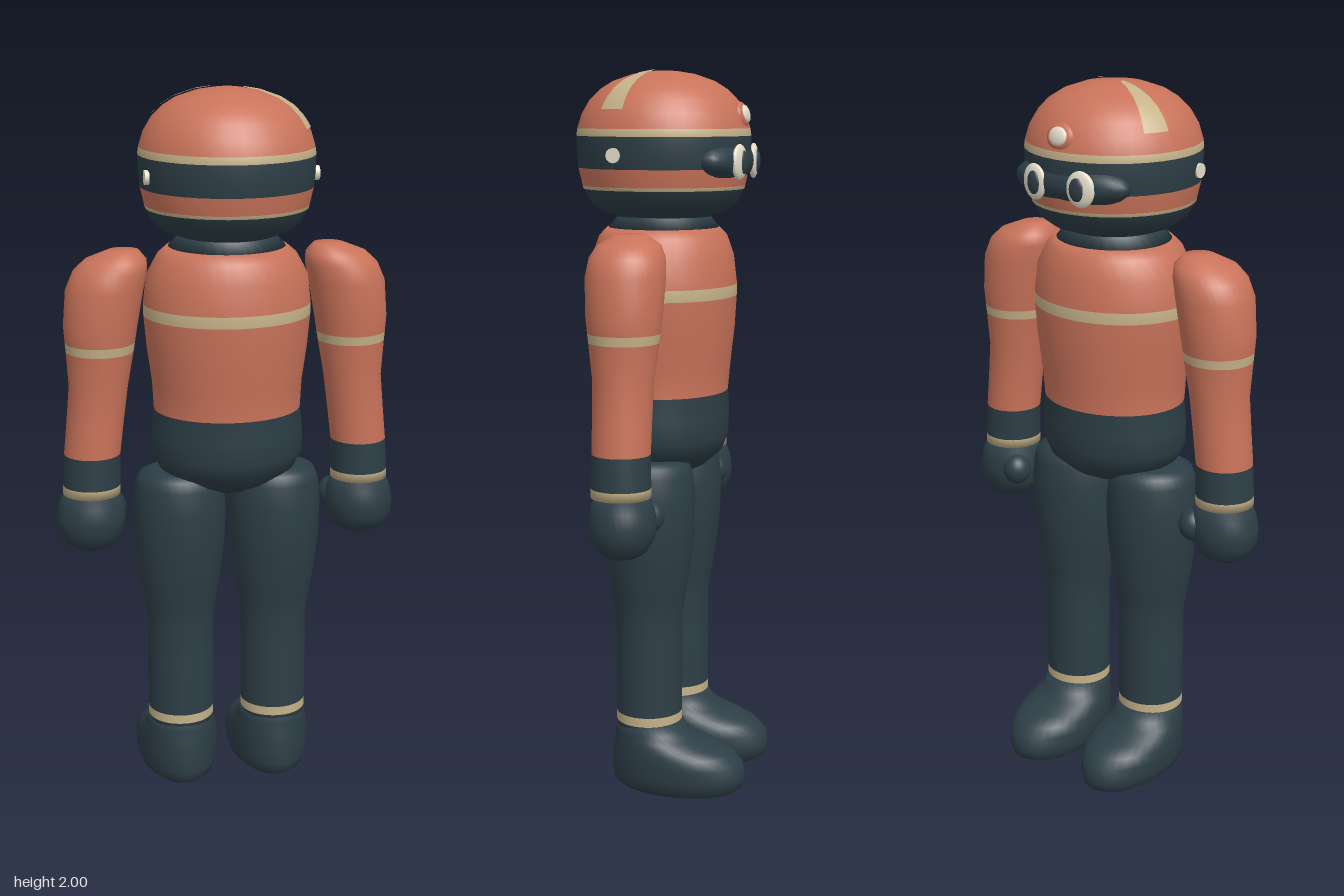
import * as THREE from 'three';

const SEG = 36;
const CZ = 0.022; // depth of the body axis

const make = (name, color) => {
  const m = new THREE.MeshStandardMaterial({ color });
  m.name = name;
  return m;
};

export function createModel() {
  const orange = make('orange', 0xc9735a);
  const dark = make('darkSlate', 0x2d3e46);
  const tan = make('tan', 0xc6b289);
  const white = make('offWhite', 0xe6decb);
  const palette = [orange, dark, tan];
  const O = 0, D = 1, T = 2;

  const model = new THREE.Group();
  const add = (name, geo, mat, parent = model) => {
    const mesh = new THREE.Mesh(geo, mat);
    mesh.name = name;
    parent.add(mesh);
    return mesh;
  };

  // Smooth body from elliptical rings, top to bottom: [y, cx, cz, rx, rz, colour of the band below]
  function loft(name, rings, parent) {
    const pos = [], idx = [], geo = new THREE.BufferGeometry();
    for (const [y, cx, cz, rx, rz] of rings) {
      for (let k = 0; k < SEG; k++) {
        const t = (k / SEG) * Math.PI * 2;
        pos.push(cx + rx * Math.cos(t), y, cz + rz * Math.sin(t));
      }
    }
    const n = rings.length, top = n * SEG, last = (n - 1) * SEG;
    pos.push(rings[0][1], rings[0][0], rings[0][2]);
    pos.push(rings[n - 1][1], rings[n - 1][0], rings[n - 1][2]);
    for (let i = -1; i < n; i++) {
      const start = idx.length;
      for (let k = 0; k < SEG; k++) {
        const k1 = (k + 1) % SEG;
        const a = i * SEG + k, b = i * SEG + k1;
        if (i < 0) idx.push(top, k1, k);
        else if (i === n - 1) idx.push(top + 1, last + k, last + k1);
        else idx.push(a, b, a + SEG, b, b + SEG, a + SEG);
      }
      geo.addGroup(start, idx.length - start, rings[Math.max(i, 0)][5]);
    }
    geo.setAttribute('position', new THREE.Float32BufferAttribute(pos, 3));
    geo.setIndex(idx);
    geo.computeVertexNormals();
    return add(name, geo, palette, parent);
  }

  function ellipsoid(name, mat, p, r, parent) {
    const mesh = add(name, new THREE.SphereGeometry(1, 28, 18), mat, parent);
    mesh.position.set(...p);
    mesh.scale.set(...r);
    return mesh;
  }

  // Helmet: [radius, y, colour]
  const helmet = [
    [0.035, 1.999, O], [0.085, 1.991, O], [0.14, 1.972, O], [0.175, 1.95, O], [0.203, 1.922, O],
    [0.225, 1.885, O], [0.237, 1.846, T], [0.24, 1.826, D], [0.239, 1.785, D], [0.235, 1.74, O],
    [0.224, 1.692, T], [0.222, 1.683, D], [0.201, 1.645, D], [0.17, 1.622, D], [0.125, 1.606, D],
  ];
  const head = new THREE.Group();
  head.name = 'head';
  model.add(head);
  loft('helmet', helmet.map(([r, y, c]) => [y, 0, 0.02, r, r, c]), head);

  // Tapered stripes lying on the helmet crown
  const crownY = (r) => {
    let i = 1;
    while (i < helmet.length - 1 && helmet[i][0] < r) i++;
    const [r0, y0] = helmet[i - 1], [r1, y1] = helmet[i];
    return y0 + ((r - r0) / (r1 - r0)) * (y1 - y0);
  };
  for (const s of [-1, 1]) {
    const rows = 16, cols = 6, aim = THREE.MathUtils.degToRad(22);
    const geo = new THREE.PlaneGeometry(1, 1, cols, rows);
    const p = geo.attributes.position;
    for (let i = 0; i < p.count; i++) {
      const v = 0.5 - p.getY(i);
      const r = 0.04 + v * 0.18;
      const a = aim + (p.getX(i) * 2 * (0.006 + v * 0.03)) / r;
      const rr = r + 0.003;
      p.setXYZ(i, s * rr * Math.cos(a), crownY(r) + 0.004, 0.02 + s * rr * Math.sin(a));
    }
    geo.computeVertexNormals();
    // Faces must point up
    if (geo.attributes.normal.getY(0) < 0) {
      const ix = geo.index;
      for (let i = 0; i < ix.count; i += 3) {
        const b = ix.getX(i + 1);
        ix.setX(i + 1, ix.getX(i + 2));
        ix.setX(i + 2, b);
      }
      geo.computeVertexNormals();
    }
    add('crownStripe', geo, tan, head);

    // Side stud
    const stud = add('sideStud', new THREE.CylinderGeometry(0.02, 0.02, 0.012, 12), white, head);
    stud.rotation.z = Math.PI / 2;
    stud.position.set(s * 0.23, 1.777, 0.09);
  }

  // Face mask, eyes and lamp, on the -z side
  ellipsoid('faceMask', dark, [0, 1.76, -0.153], [0.185, 0.062, 0.073], head);
  for (const s of [-1, 1]) {
    const eye = new THREE.Group();
    eye.name = 'eye';
    eye.position.set(s * 0.077, 1.758, -0.214);
    eye.rotation.y = -s * 0.15;
    head.add(eye);
    ellipsoid('eyeWhite', white, [0, 0, 0], [0.042, 0.048, 0.014], eye);
    ellipsoid('pupil', dark, [-s * 0.006, 0, -0.01], [0.022, 0.031, 0.01], eye);
  }
  const lamp = new THREE.Group();
  lamp.name = 'headLamp';
  lamp.position.set(0, 1.882, -0.2);
  lamp.rotation.x = 0.25;
  head.add(lamp);
  ellipsoid('lampRim', orange, [0, 0, 0], [0.043, 0.036, 0.016], lamp);
  ellipsoid('lampLens', white, [0, 0, -0.01], [0.03, 0.025, 0.011], lamp);

  // Collar
  loft('collar', [[1.625, 0, 0.02, 0.12, 0.115, D], [1.605, 0, 0.02, 0.135, 0.13, D], [1.57, 0, 0.02, 0.168, 0.158, D]]);

  // Torso: [y, half width, half depth, colour]
  loft('torso', [
    [1.578, 0.165, 0.155, O], [1.555, 0.192, 0.176, O], [1.5, 0.222, 0.194, O], [1.422, 0.231, 0.203, T],
    [1.39, 0.231, 0.203, O], [1.3, 0.223, 0.198, O], [1.2, 0.209, 0.187, O], [1.125, 0.205, 0.18, D],
    [1.06, 0.212, 0.183, D], [1.0, 0.213, 0.181, D], [0.955, 0.19, 0.165, D], [0.915, 0.135, 0.12, D],
    [0.886, 0.065, 0.06, D],
  ].map(([y, rx, rz, c]) => [y, 0, CZ, rx, rz, c]));

  for (const s of [-1, 1]) {
    const side = s > 0 ? 'left' : 'right';

    // Arm, cuff and hand: [y, centre x, radius, colour]
    const arm = new THREE.Group();
    arm.name = side + 'Arm';
    model.add(arm);
    loft('sleeve', [
      [1.575, 0.285, 0.042, O], [1.55, 0.306, 0.084, O], [1.52, 0.322, 0.1, O], [1.47, 0.338, 0.106, O],
      [1.37, 0.351, 0.101, O], [1.325, 0.353, 0.096, T], [1.3, 0.354, 0.093, O], [1.2, 0.36, 0.081, O],
      [1.1, 0.371, 0.079, O], [1.01, 0.381, 0.078, D], [0.92, 0.384, 0.08, T], [0.895, 0.385, 0.08, D],
    ].map(([y, x, r, c]) => [y, s * x, CZ, r, r, c]), arm);
    loft('hand', [
      [0.9, 0.385, 0.076, D], [0.865, 0.386, 0.091, D], [0.825, 0.388, 0.097, D], [0.785, 0.389, 0.092, D],
      [0.75, 0.389, 0.07, D], [0.735, 0.389, 0.045, D],
    ].map(([y, x, r, c]) => [y, s * x, 0.018, r, r * 0.94, c]), arm);
    ellipsoid('thumb', dark, [s * 0.322, 0.832, -0.035], [0.04, 0.045, 0.042], arm);

    // Leg: [y, radius, colour]
    const leg = new THREE.Group();
    leg.name = side + 'Leg';
    model.add(leg);
    loft('trouser', [
      [0.95, 0.085, D], [0.938, 0.112, D], [0.91, 0.124, D], [0.84, 0.131, D], [0.74, 0.128, D],
      [0.64, 0.117, D], [0.56, 0.103, D], [0.5, 0.094, D], [0.4, 0.095, D], [0.3, 0.094, D],
      [0.228, 0.094, T], [0.202, 0.094, D], [0.18, 0.094, D],
    ].map(([y, r, c]) => [y, s * 0.137, CZ, r, r * 0.98, c]), leg);

    // Boot: [y, half width, heel z, toe z]
    loft('boot', [
      [0.205, 0.093, 0.113, -0.069], [0.175, 0.098, 0.116, -0.088], [0.155, 0.104, 0.119, -0.12],
      [0.137, 0.111, 0.122, -0.175], [0.117, 0.116, 0.125, -0.222], [0.09, 0.118, 0.127, -0.25],
      [0.05, 0.116, 0.129, -0.256], [0.02, 0.107, 0.122, -0.247], [0.004, 0.088, 0.1, -0.222], [0, 0.06, 0.07, -0.19],
    ].map(([y, rx, heel, toe]) => [y, s * 0.137, (heel + toe) / 2, rx, (heel - toe) / 2, D]), leg);
  }
  return model;
}
